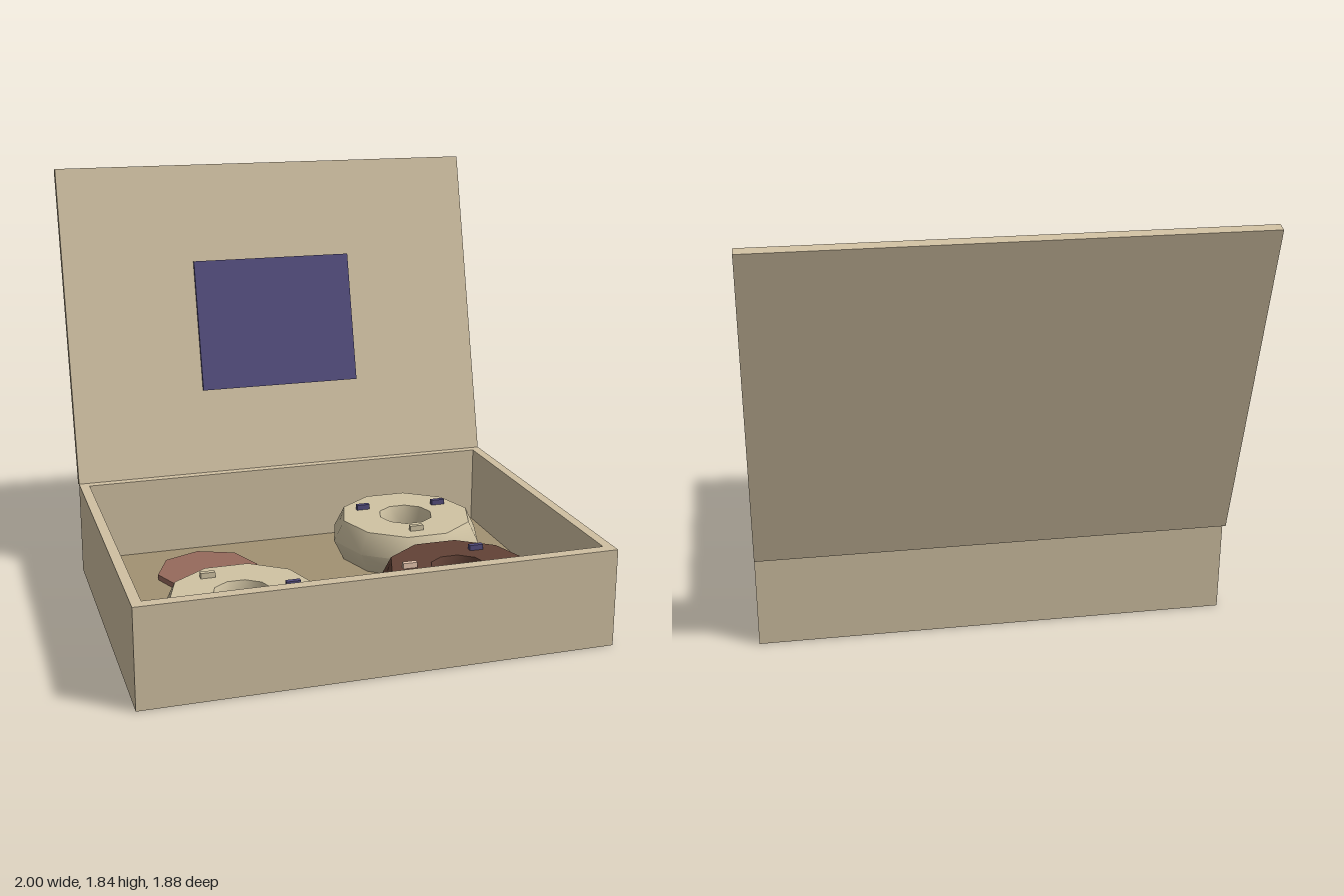
import * as THREE from 'three';
import { toCreasedNormals } from 'three/addons/utils/BufferGeometryUtils.js';

const mat = (name, color) => {
  const m = new THREE.MeshStandardMaterial({ color });
  m.name = name;
  return m;
};

export function createModel() {
  const card = mat('cardboard', 0xd0c0a2);
  const liner = mat('liner', 0xa29272);
  const plain = mat('plainDough', 0xd0c3a3);
  const chocolate = mat('chocolate', 0x624236);
  const red = mat('redDisc', 0x966a5c);
  const navy = mat('navy', 0x524c7c);
  const pale = mat('paleSprinkle', 0xe6c5ae);

  const model = new THREE.Group();
  model.name = 'doughnutBox';
  const add = (parent, name, geo, material, x = 0, y = 0, z = 0) => {
    const mesh = new THREE.Mesh(geo, material);
    mesh.name = name;
    mesh.position.set(x, y, z);
    parent.add(mesh);
    return mesh;
  };
  const box = (w, h, d) => new THREE.BoxGeometry(w, h, d);

  // Tray: wall frame extruded upward, bottom plate and inner liner
  const H = 0.425, FLOOR = 0.065, BACK = -0.52, FRONT = 0.94;
  const rect = (path, x, y0, y1) => path
    .moveTo(-x, y0).lineTo(x, y0).lineTo(x, y1).lineTo(-x, y1).lineTo(-x, y0);
  const outline = rect(new THREE.Shape(), 1, -FRONT, -BACK);
  outline.holes.push(rect(new THREE.Path(), 0.957, -0.89, 0.48));
  const walls = new THREE.ExtrudeGeometry(outline, { depth: H, bevelEnabled: false });
  walls.rotateX(-Math.PI / 2);
  add(model, 'trayWalls', walls, card);
  add(model, 'trayBottom', box(1.92, 0.055, 1.38), card, 0, 0.0275, 0.205);
  add(model, 'trayLiner', box(1.916, 0.009, 1.372), liner, 0, FLOOR - 0.0045, 0.205);

  // Lid hinged on the back edge, with a panel on its inner face
  const lid = new THREE.Group();
  lid.name = 'lid';
  lid.position.set(0, H, BACK);
  lid.rotation.x = -0.262;
  add(lid, 'lidPanel', box(2, 1.465, 0.042), card, 0, 0.7325, -0.021);
  add(lid, 'lidLabel', box(0.765, 0.615, 0.015), navy, 0, 0.697, 0.0075);
  model.add(lid);

  // Ten-sided ring with flat top and bevelled sides
  const TOP = 0.255, MID = (TOP + FLOOR) / 2;
  const profile = [
    [0.095, MID], [0.125, FLOOR], [0.305, FLOOR], [0.352, MID],
    [0.305, TOP], [0.125, TOP], [0.095, MID],
  ].map(([r, y]) => new THREE.Vector2(r, y));
  const ring = toCreasedNormals(
    new THREE.LatheGeometry(profile, 10, Math.PI / 2), 0.95);

  // Each doughnut: position, dough and sprinkles placed relative to its centre
  const doughnuts = [
    ['backLeftDoughnut', 0.475, -0.14, plain,
      [[-0.17, -0.125, navy], [0.195, -0.09, navy], [-0.025, 0.21, plain]]],
    ['frontRightDoughnut', -0.48, 0.53, plain,
      [[-0.105, -0.19, plain], [0.215, 0, navy], [-0.105, 0.18, navy]]],
    ['frontLeftDoughnut', 0.475, 0.53, chocolate,
      [[0.142, -0.16, navy], [-0.21, -0.047, pale], [0.068, 0.2, navy]]],
  ];
  for (const [name, x, z, dough, sprinkles] of doughnuts) {
    const group = new THREE.Group();
    group.name = name;
    group.position.set(x, 0, z);
    add(group, 'ring', ring, dough);
    for (const [sx, sz, m] of sprinkles) {
      add(group, 'sprinkle', box(0.062, 0.025, 0.022), m, sx, TOP + 0.0115, sz);
    }
    model.add(group);
  }

  // Thin eight-sided disc in the empty corner
  const disc = new THREE.CylinderGeometry(0.23, 0.23, 0.025, 8);
  add(model, 'backRightDisc', toCreasedNormals(disc, 0.6), red, -0.48, FLOOR + 0.0125, -0.14);

  return model;
}
